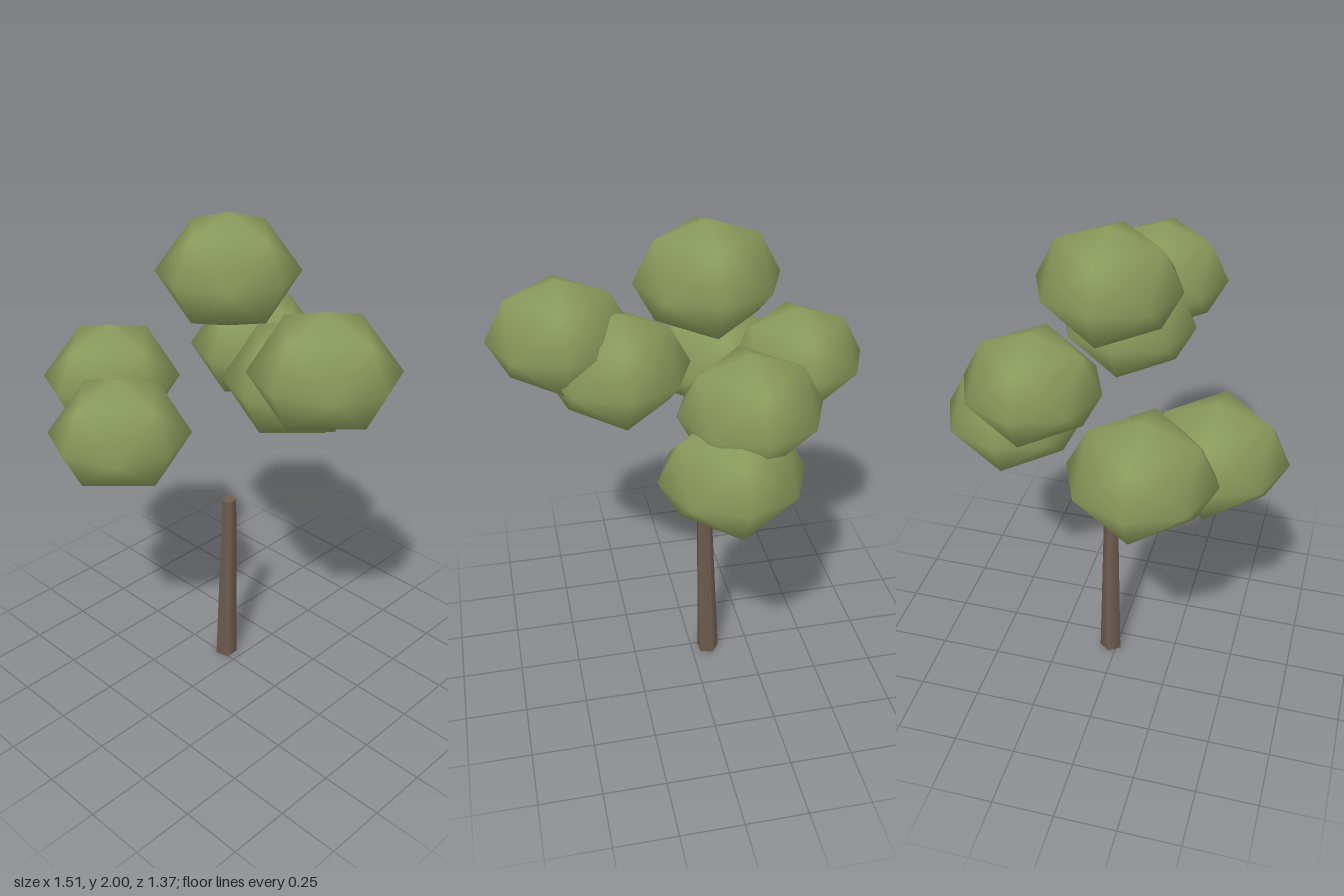
import * as THREE from 'three';

const foliageMaterial = new THREE.MeshStandardMaterial({ color: 0x8a9a5b });
foliageMaterial.name = 'mossGreen';
const barkMaterial = new THREE.MeshStandardMaterial({ color: 0x6f5d50 });
barkMaterial.name = 'barkBrown';

// Centres of the leaf clumps
const CLUMPS = [
  [-0.055, 1.783, -0.03],
  [0.48, 1.572, 0.04],
  [0.28, 1.457, -0.043],
  [-0.483, 1.295, 0.202],
  [-0.197, 1.222, 0.408],
  [-0.158, 1.38, -0.301],
  [-0.067, 1.182, -0.413],
];

// Tapered five-sided trunk, leaning slightly towards +x
function createTrunk() {
  const height = 0.8;
  const geometry = new THREE.CylinderGeometry(0.03, 0.048, height, 5, 1, false, -Math.PI / 2);
  geometry.translate(0, height / 2, 0);
  const lean = new THREE.Matrix4().makeShear(0, 0, 0.026, 0, 0, 0);
  geometry.applyMatrix4(lean);
  const trunk = new THREE.Mesh(geometry, barkMaterial);
  trunk.name = 'trunk';
  trunk.position.set(-0.072, 0, -0.026);
  return trunk;
}

// Squashed, faceted balls of leaves with smooth shading
function createFoliage() {
  const foliage = new THREE.Group();
  foliage.name = 'foliage';
  const geometry = new THREE.OctahedronGeometry(0.272, 1);
  geometry.scale(1, 0.8, 1);
  CLUMPS.forEach(([x, y, z], i) => {
    const clump = new THREE.Mesh(geometry, foliageMaterial);
    clump.name = `leafClump${i + 1}`;
    clump.position.set(x, y, z);
    foliage.add(clump);
  });
  return foliage;
}

export function createModel() {
  const tree = new THREE.Group();
  tree.name = 'tree';
  tree.add(createTrunk(), createFoliage());
  return tree;
}
